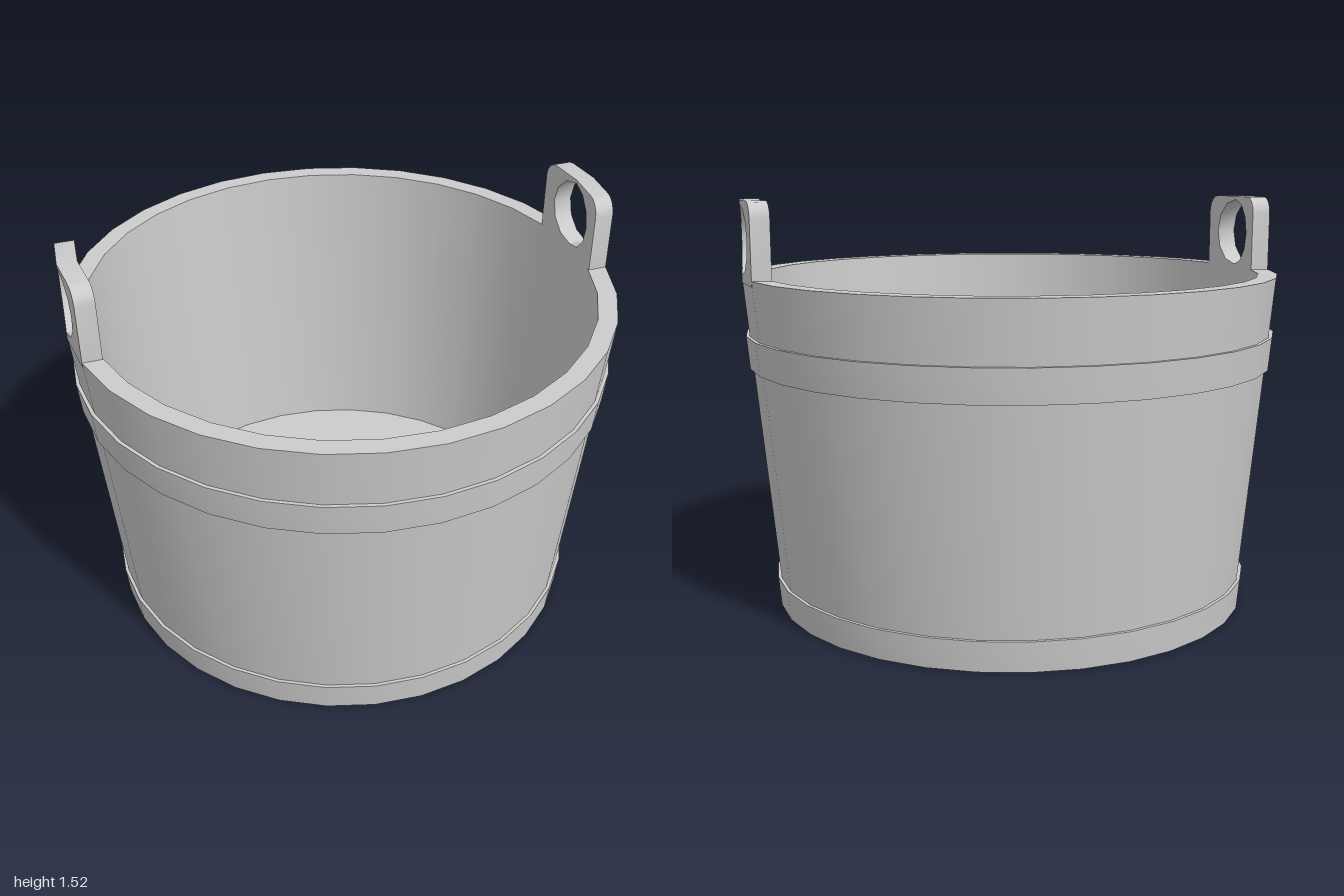
import * as THREE from 'three';
import { toCreasedNormals } from 'three/addons/utils/BufferGeometryUtils.js';

const SIDES = 32;
const RIM_Y = 1.245, RIM_OUT = 1.0, RIM_IN = 0.93, BASE_OUT = 0.885;
const material = new THREE.MeshStandardMaterial({ color: 0xcccccc });

// Outer radius of the tapered wall at height y
const wallRadius = (y) => BASE_OUT + (RIM_OUT - BASE_OUT) * (y / RIM_Y);

function turned(name, profile) {
  const points = profile.map(([r, y]) => new THREE.Vector2(r, y));
  const geometry = toCreasedNormals(new THREE.LatheGeometry(points, SIDES), 0.5);
  const mesh = new THREE.Mesh(geometry, material);
  mesh.name = name;
  return mesh;
}

// Hoop that hugs the wall between two heights
function hoop(name, y0, y1, thickness) {
  const a = wallRadius(y0), b = wallRadius(y1);
  return turned(name, [[a, y0], [a + thickness, y0], [b + thickness, y1], [b, y1]]);
}

// Half of a pierced lug: rounded outer corner, half a hole along the fold line
function lugHalf(side) {
  const w = 0.195, top = 1.52, corner = 0.06, holeY = 1.38, holeR = 0.127;
  const points = [[0, RIM_Y - 0.02], [w, RIM_Y - 0.02]];
  for (let i = 0; i <= 4; i++) {
    const a = (i / 4) * Math.PI / 2;
    points.push([w - corner + corner * Math.cos(a), top - corner + corner * Math.sin(a)]);
  }
  points.push([0, top]);
  for (let i = 0; i <= 6; i++) {
    const a = Math.PI / 2 - (i / 6) * Math.PI;
    points.push([i % 6 ? holeR * Math.cos(a) : 0, holeY + holeR * Math.sin(a)]);
  }
  const shape = new THREE.Shape(points.map(([u, v]) => new THREE.Vector2(u * side, v)));
  const geometry = new THREE.ExtrudeGeometry(shape, { depth: RIM_OUT - RIM_IN, bevelEnabled: false });
  geometry.rotateY(Math.PI / 2);

  // Slant the half so it lies along one facet of the rim
  const pos = geometry.attributes.position;
  const slope = Math.tan(Math.PI / SIDES);
  for (let i = 0; i < pos.count; i++) {
    pos.setX(i, pos.getX(i) + RIM_IN - slope * Math.abs(pos.getZ(i)));
  }
  return new THREE.Mesh(toCreasedNormals(geometry, 0.6), material);
}

function lug(name, angle) {
  const group = new THREE.Group();
  group.name = name;
  for (const side of [1, -1]) {
    const half = lugHalf(side);
    half.name = side > 0 ? 'lugBackHalf' : 'lugFrontHalf';
    group.add(half);
  }
  group.rotation.y = angle;
  return group;
}

export function createModel() {
  const model = new THREE.Group();
  model.name = 'bucket';

  // Closed base, tapered wall, flat rim, inner wall and floor
  model.add(turned('tub', [
    [0, 0], [BASE_OUT, 0], [RIM_OUT, RIM_Y], [RIM_IN, RIM_Y], [0.857, 0.06], [0, 0.06],
  ]));

  model.add(hoop('lowerHoop', 0, 0.11, 0.012));
  model.add(hoop('upperHoop', 0.91, 1.03, 0.013));

  model.add(lug('leftLug', 0), lug('rightLug', Math.PI));
  return model;
}
